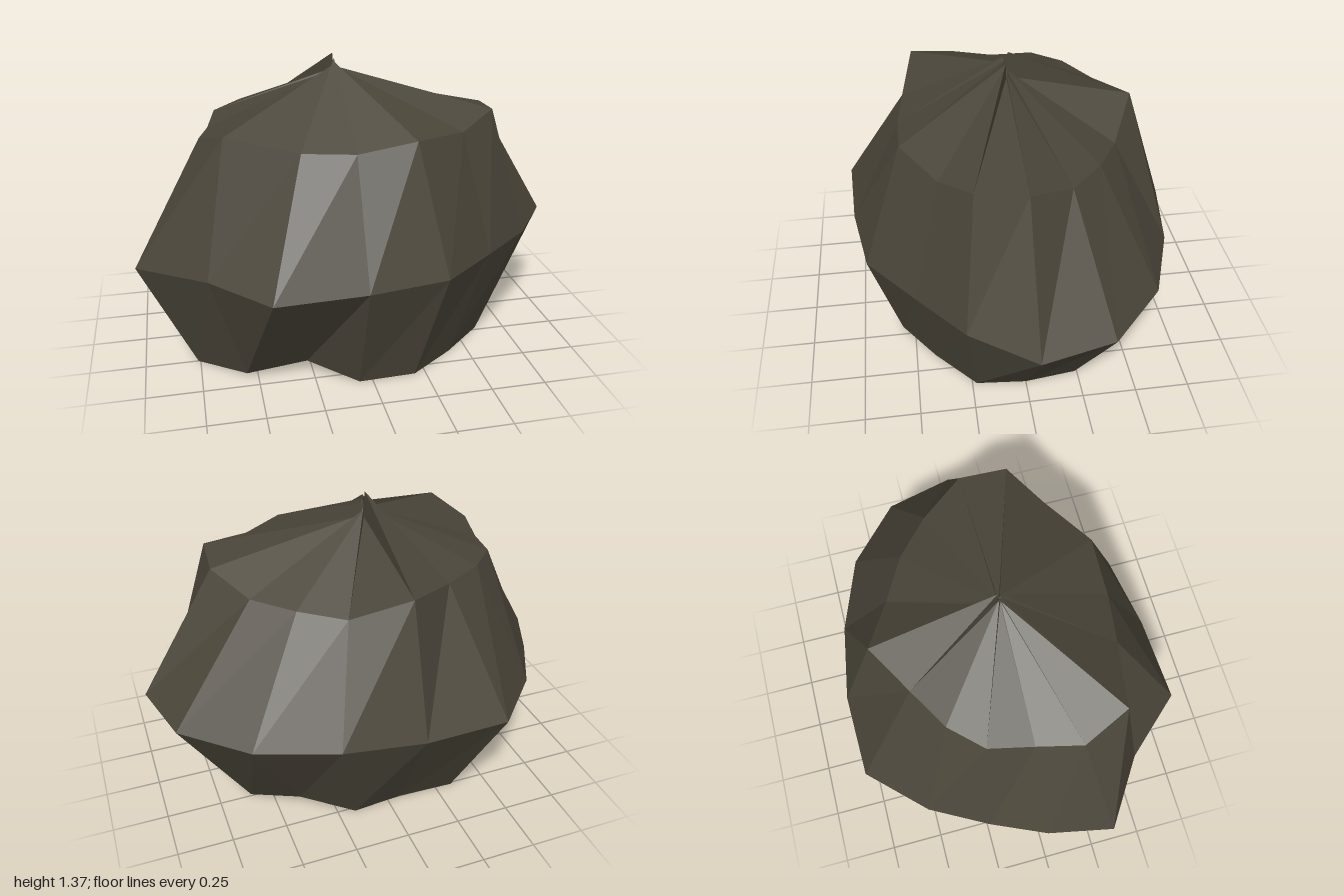
import * as THREE from 'three';

const SIDES = 16;
const AXIS_X = -0.06; // the rock's peak sits slightly off centre

// Plan outlines [x, z], running from +x round through the back
const base = [
  [0.63, 0], [0.60, -0.24], [0.40, -0.39], [0.17, -0.52], [-0.06, -0.50], [-0.33, -0.51], [-0.53, -0.38], [-0.64, -0.19],
  [-0.80, -0.02], [-0.76, 0.25], [-0.55, 0.43], [-0.28, 0.46], [-0.06, 0.57], [0.20, 0.56], [0.41, 0.41], [0.61, 0.23],
];
const waist = [
  [1.00, 0], [0.92, -0.33], [0.65, -0.58], [0.30, -0.71], [-0.06, -0.77], [-0.45, -0.76], [-0.69, -0.51], [-0.83, -0.25],
  [-0.94, 0], [-1.00, 0.30], [-0.70, 0.50], [-0.46, 0.77], [-0.06, 0.75], [0.30, 0.69], [0.56, 0.48], [0.80, 0.28],
];
const shoulder = [
  [0.65, 0], [0.53, -0.20], [0.37, -0.35], [0.18, -0.46], [-0.06, -0.58], [-0.28, -0.45], [-0.47, -0.34], [-0.60, -0.20],
  [-0.64, 0], [-0.69, 0.20], [-0.60, 0.41], [-0.29, 0.47], [-0.06, 0.50], [0.20, 0.50], [0.45, 0.35], [0.63, 0.22],
];

// Uneven heights around the foot, the shoulder and the splintered tip
const baseY = [0, 0, 0.05, 0, 0, 0, 0, 0, 0, 0, 0.02, 0.07, 0, 0, 0, 0];
const shoulderY = [1.11, 1.04, 1.03, 1.01, 1.12, 1.09, 1.09, 1.08, 1.06, 1.07, 1.13, 1.06, 1.05, 1.09, 1.07, 1.13];
const tipY = [1.25, 1.26, 1.28, 1.28, 1.25, 1.37, 1.30, 1.30, 1.29, 1.29, 1.29, 1.32, 1.35, 1.33, 1.31, 1.31];

const ring = (plan, height) => plan.map(([x, z], i) =>
  new THREE.Vector3(x, Array.isArray(height) ? height[i] : height, z));

// Small ring around the peak
const tip = tipY.map((y, i) => {
  const a = (i / SIDES) * Math.PI * 2;
  return new THREE.Vector3(AXIS_X + 0.01 * Math.cos(a), y, -0.01 * Math.sin(a));
});

function rockGeometry() {
  const rings = [ring(base, baseY), ring(waist, 0.53), ring(shoulder, shoulderY), tip];
  const bottom = new THREE.Vector3(AXIS_X, 0, 0);
  const top = new THREE.Vector3(AXIS_X, 1.3, 0);
  const points = [];
  for (let i = 0; i < SIDES; i++) {
    const j = (i + 1) % SIDES;
    // Sides between neighbouring rings
    for (let r = 0; r < rings.length - 1; r++) {
      const lo = rings[r], hi = rings[r + 1];
      points.push(lo[i], lo[j], hi[j], lo[i], hi[j], hi[i]);
    }
    // Underside and tip
    points.push(bottom, rings[0][j], rings[0][i]);
    points.push(top, tip[i], tip[j]);
  }
  const geometry = new THREE.BufferGeometry().setFromPoints(points);
  geometry.computeVertexNormals(); // unshared corners give flat facets
  return geometry;
}

export function createModel() {
  const stone = new THREE.MeshStandardMaterial({ color: 0x4a4539 });
  stone.name = 'darkStone';
  const rock = new THREE.Mesh(rockGeometry(), stone);
  rock.name = 'rock';
  const group = new THREE.Group();
  group.name = 'boulder';
  group.add(rock);
  return group;
}
